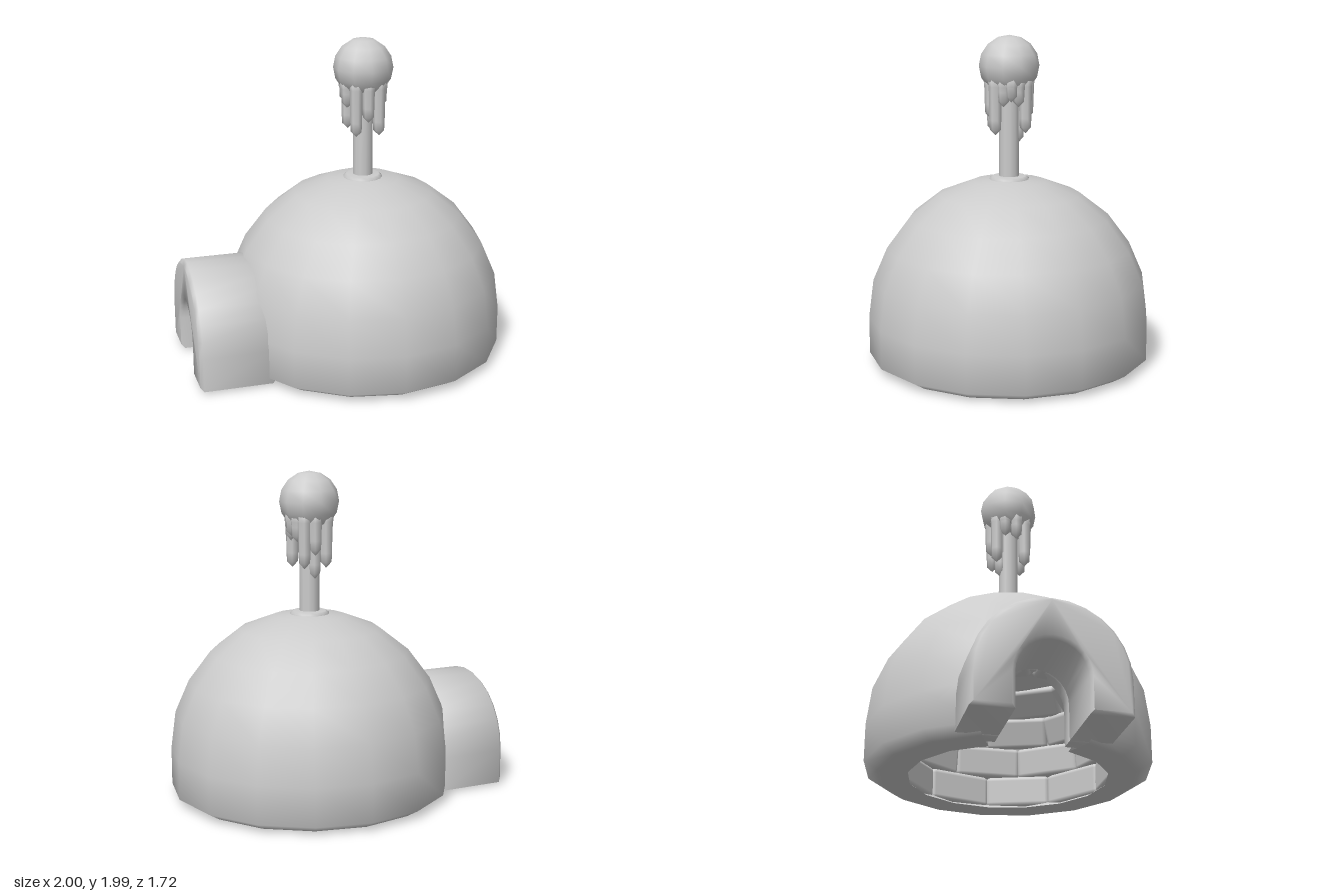
import * as THREE from 'three';
import { toCreasedNormals } from 'three/addons/utils/BufferGeometryUtils.js';
import { RoundedBoxGeometry } from 'three/addons/geometries/RoundedBoxGeometry.js';

const CX = 0.135; // dome axis
const points = (list) => list.map(([x, y]) => new THREE.Vector2(x, y));

// Lathed shell with the two wall panels facing -x left out for the doorway
function shell(profile) {
  const geo = new THREE.LatheGeometry(points(profile), 16);
  const pos = geo.attributes.position;
  const old = geo.index.array;
  const kept = [];
  for (let i = 0; i < old.length; i += 3) {
    const tri = [old[i], old[i + 1], old[i + 2]];
    const mean = (get) => tri.reduce((sum, v) => sum + get(v), 0) / 3;
    const x = mean((v) => pos.getX(v));
    const y = mean((v) => pos.getY(v));
    const z = mean((v) => pos.getZ(v));
    const inDoor = x < 0 && Math.abs(z) < -x * Math.tan(Math.PI / 8) && y < 0.5;
    if (!inDoor) kept.push(...tri);
  }
  geo.setIndex(kept);
  return geo;
}

// Round-topped doorway arch running along -x, with softened edges
function archGeometry(outer, inner, length, curveSegments) {
  const spring = 0.225, foot = 0.015, bevel = 0.02;
  const arch = new THREE.Shape();
  arch.moveTo(outer, foot);
  arch.lineTo(outer, spring);
  arch.absarc(0, spring, outer, 0, Math.PI, false);
  arch.lineTo(-outer, foot);
  arch.lineTo(-inner, foot);
  arch.lineTo(-inner, spring);
  arch.absarc(0, spring, inner, Math.PI, 0, true);
  arch.lineTo(inner, foot);
  arch.closePath();
  const geo = new THREE.ExtrudeGeometry(arch, {
    depth: length - 2 * bevel, curveSegments, bevelEnabled: true,
    bevelSize: bevel, bevelThickness: bevel, bevelOffset: -bevel, bevelSegments: 1,
  });
  geo.translate(0, 0, bevel);
  geo.rotateY(-Math.PI / 2);
  return toCreasedNormals(geo, 1);
}

export function createModel() {
  const model = new THREE.Group();
  const grey = new THREE.MeshStandardMaterial({ color: 0xcccccc });
  const twoSided = new THREE.MeshStandardMaterial({ color: 0xcccccc, side: THREE.DoubleSide });

  function add(name, geometry, x = 0, y = 0, z = 0, parent = model, material = grey) {
    const mesh = new THREE.Mesh(geometry, material);
    mesh.name = name;
    mesh.position.set(x, y, z);
    parent.add(mesh);
    return mesh;
  }

  // Dome: outer skin rolling under to the base ring, and the inner wall
  add('domeOuter', shell([
    [0.6, 0], [0.78, 0], [0.862, 0.05], [0.862, 0.28], [0.832, 0.51], [0.745, 0.71],
    [0.61, 0.89], [0.43, 1.03], [0.222, 1.11], [0, 1.135],
  ]), CX, 0, 0, model, twoSided);
  add('domeInner', shell([
    [0.6, 0], [0.67, 0.05], [0.69, 0.28], [0.66, 0.48], [0.58, 0.65],
    [0.46, 0.8], [0.3, 0.92], [0, 0.98],
  ]), CX, 0, 0, model, twoSided);

  // Rounded blocks lining the inside, staggered row by row
  const blocks = new THREE.Group();
  blocks.name = 'innerBlocks';
  blocks.position.x = CX;
  model.add(blocks);
  const rows = [ // radius, height, lean, count
    [0.65, 0.11, 0, 10], [0.66, 0.31, 0.08, 10], [0.62, 0.505, 0.32, 10],
    [0.52, 0.68, 0.68, 9], [0.37, 0.82, 1, 7], [0.18, 0.91, 1.3, 5],
  ];
  rows.forEach(([r, y, lean, count], row) => {
    const width = 2 * (r - 0.02) * Math.tan(Math.PI / count);
    const geo = new RoundedBoxGeometry(width, 0.2, 0.11, 2, 0.03);
    for (let i = 0; i < count; i++) {
      const a = ((i + (row % 2) / 2) / count) * Math.PI * 2;
      if (row < 2 && Math.cos(a + Math.PI / 2) > 0.75) continue; // doorway
      const block = add('innerBlock', geo, r * Math.sin(a), y, r * Math.cos(a), blocks);
      block.rotation.set(-lean, a, 0, 'YXZ');
    }
  });

  // Entrance tunnel and the slimmer arch framing it inside the dome
  add('entranceTunnel', archGeometry(0.445, 0.2, 0.46, 7), -0.54);
  add('innerDoorFrame', archGeometry(0.33, 0.2, 0.13, 7), -0.43);

  // Collar and pole on the crown
  add('poleCollar', new THREE.LatheGeometry(points([
    [0.12, 1.1], [0.12, 1.128], [0.1, 1.141], [0, 1.141],
  ]), 16), CX);
  add('pole', new THREE.CylinderGeometry(0.061, 0.061, 0.65, 12), CX, 1.425);

  // Ball with pointed drips hanging from it
  const ball = new THREE.SphereGeometry(0.182, 10, 8);
  ball.rotateY(Math.PI / 2);
  add('ball', ball, CX, 1.808);
  const drips = [ // x offset, z, lowest point
    [-0.07, 0.09, 1.4], [0, 0.11, 1.49], [0.073, 0.09, 1.4],
    [0.115, 0, 1.6], [0.1, 0.045, 1.57], [0.1, -0.045, 1.57],
    [-0.11, 0.03, 1.57], [-0.1, -0.04, 1.59], [-0.07, -0.09, 1.41],
    [0.01, -0.11, 1.49], [-0.01, -0.055, 1.34], [0.073, -0.09, 1.41],
  ];
  for (const [x, z, low] of drips) {
    const top = 1.79;
    add('drip', new THREE.LatheGeometry(points([
      [0, low], [0.034, low + 0.035], [0.037, low + 0.09],
      [0.04, top - 0.1], [0.045, top - 0.05], [0, top],
    ]), 7), CX + x, 0, z);
  }
  return model;
}
